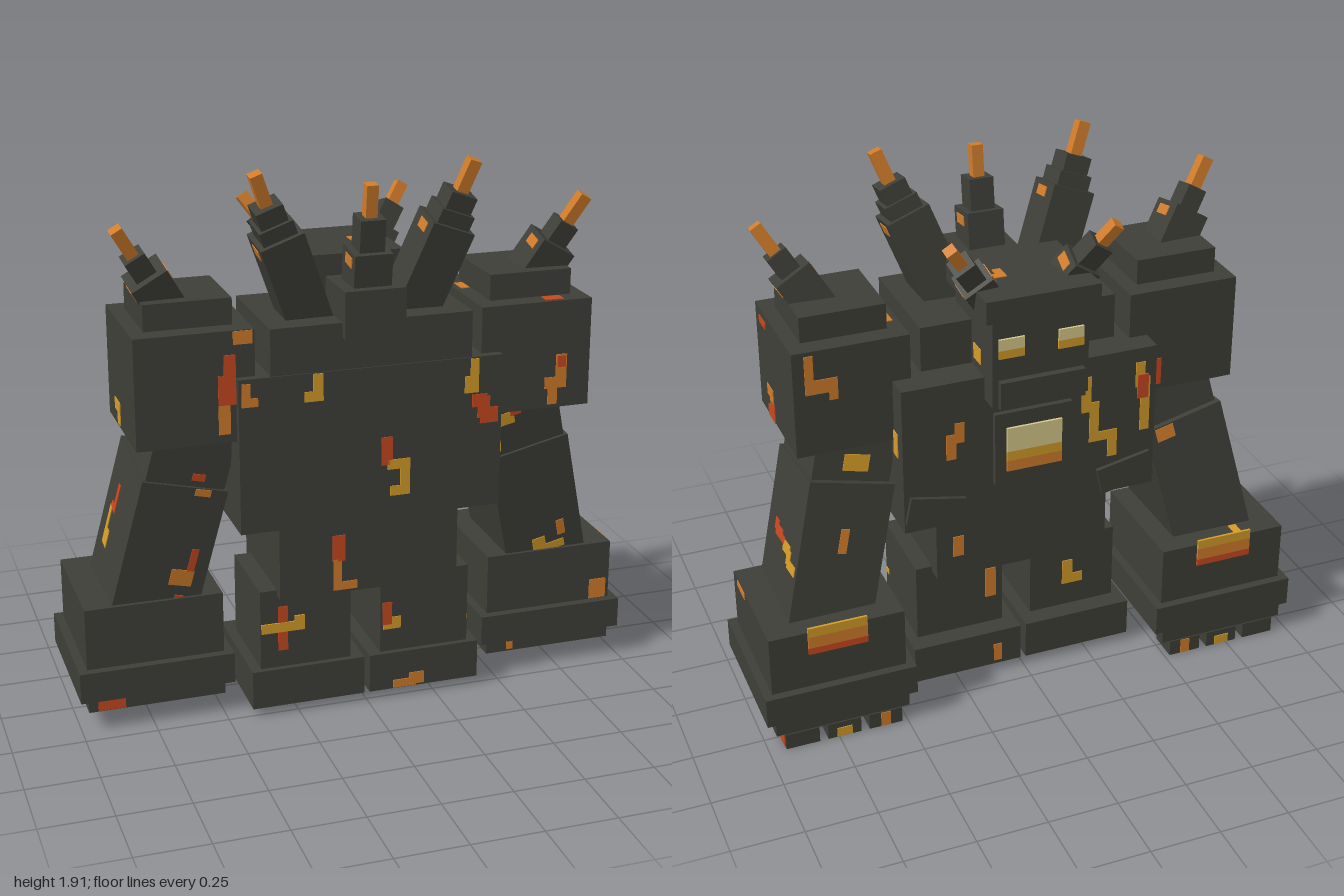
import * as THREE from 'three';

const mat = (name, color) => {
  const m = new THREE.MeshStandardMaterial({ color });
  m.name = name;
  return m;
};

export function createModel() {
  const root = new THREE.Group();
  root.name = 'stoneGolem';
  const stone = mat('darkStone', 0x3e3f38);
  const red = mat('emberRed', 0xc8481f);
  const orange = mat('emberOrange', 0xd07c2a);
  const amber = mat('emberAmber', 0xd49c28);
  const pale = mat('paleGlow', 0xd8c98a);

  // Box given by its extents on each axis
  const box = (name, x0, x1, y0, y1, z0, z1, material = stone, parent = root) => {
    const m = new THREE.Mesh(new THREE.BoxGeometry(Math.abs(x1 - x0), y1 - y0, z1 - z0), material);
    m.position.set((x0 + x1) / 2, (y0 + y1) / 2, (z0 + z1) / 2);
    m.name = name;
    parent.add(m);
    return m;
  };

  // Blocky glowing crack: thin plates along a stepped path on a flat face
  const crack = (material, axis, level, pts, w = 0.04, parent = root) => {
    const t = 0.003, h = w / 2;
    for (let i = 0; i < pts.length - 1; i++) {
      const [a, b] = pts[i], [c, d] = pts[i + 1];
      const u = [Math.min(a, c) - h, Math.max(a, c) + h];
      const v = [Math.min(b, d) - h, Math.max(b, d) + h];
      const l = [level - t, level + t];
      if (axis === 'z') box('crack', ...u, ...v, ...l, material, parent);
      else if (axis === 'x') box('crack', ...l, ...v, ...u, material, parent);
      else box('crack', ...u, ...l, ...v, material, parent);
    }
  };

  // Stepped spike with a glowing tip; steps are [width, start, end] along the axis
  const spike = (name, base, tip, steps) => {
    const g = new THREE.Group();
    g.name = name;
    const from = new THREE.Vector3(...base);
    const dir = new THREE.Vector3(...tip).sub(from).normalize();
    g.position.copy(from);
    g.quaternion.setFromUnitVectors(new THREE.Vector3(0, 1, 0), dir);
    steps.forEach(([w, a, b], i) => {
      const last = i === steps.length - 1;
      box(last ? 'spikeTip' : 'spikeStep', -w / 2, w / 2, a, b, -w / 2, w / 2, last ? orange : stone, g);
    });
    const [w, , end] = steps[0];
    for (const s of [-1, 1]) crack(orange, 'x', s * w / 2, [[-0.01, end - 0.035], [0.02, end - 0.035]], 0.035, g);
    root.add(g);
  };

  // Torso
  box('chest', -0.46, 0.46, 0.71, 1.25, -0.235, 0.31);
  box('upperChest', -0.35, 0.35, 1.25, 1.41, -0.12, 0.305);
  box('pelvis', -0.32, 0.32, 0.44, 0.71, -0.155, 0.28);
  box('furnaceFrame', -0.14, 0.14, 0.84, 1.11, -0.255, -0.23);
  box('furnaceLow', -0.1, 0.1, 0.89, 0.93, -0.264, -0.255, orange);
  box('furnaceMiddle', -0.1, 0.1, 0.93, 0.965, -0.264, -0.255, amber);
  box('furnaceHigh', -0.1, 0.1, 0.965, 1.055, -0.264, -0.255, pale);

  // Head
  box('face', -0.17, 0.17, 1.17, 1.5, -0.31, 0.03);
  box('brow', -0.2, 0.2, 1.49, 1.57, -0.335, 0.035);
  box('jaw', -0.15, 0.15, 1.17, 1.27, -0.335, -0.2);

  // Middle spike on the chest
  box('spikeBlock', -0.105, 0.105, 1.36, 1.52, 0.12, 0.335);
  spike('middleSpike', [0, 1.44, 0.225], [0, 1.86, 0.28],
    [[0.13, 0, 0.2], [0.086, 0.2, 0.31], [0.04, 0.31, 0.42]]);

  const arms = {};
  for (const s of [-1, 1]) {
    // Same as box, mirrored to side s
    const side = (name, x0, x1, ...rest) => box(name, Math.min(s * x0, s * x1), Math.max(s * x0, s * x1), ...rest);

    // Eyes
    side('eyeLow', 0.06, 0.15, 1.35, 1.38, -0.318, -0.309, amber);
    side('eyeHigh', 0.06, 0.15, 1.38, 1.42, -0.318, -0.309, pale);

    // Tilted plate at the lower corner of the chest
    const plate = box('ribPlate', s * 0.35 - 0.1, s * 0.35 + 0.1, 0.73, 0.83, -0.25, -0.16);
    plate.rotation.z = s * 0.2;

    // Spikes
    spike('chestSpike', [s * 0.185, 1.4, 0.14], [s * 0.375, 1.905, 0.23],
      [[0.155, -0.1, 0.32], [0.12, 0.32, 0.37], [0.095, 0.37, 0.43], [0.042, 0.43, 0.545]]);
    spike('shoulderSpike', [s * 0.645, 1.46, 0.09], [s * 0.81, 1.735, 0.15],
      [[0.135, -0.05, 0.14], [0.075, 0.14, 0.22], [0.042, 0.22, 0.33]]);
    spike('headSpike', [s * 0.13, 1.5, -0.16], [s * 0.29, 1.73, -0.25],
      [[0.11, -0.05, 0.12], [0.075, 0.12, 0.21], [0.04, 0.21, 0.295]]);

    // Shoulder
    side('shoulder', 0.395, 0.795, 1.03, 1.41, -0.15, 0.28);
    side('shoulderCap', 0.45, 0.745, 1.41, 1.5, -0.08, 0.21);

    // Slanting arm
    const arm = new THREE.Group();
    arm.name = 'arm';
    arm.position.set(s * 0.615, 0.88, 0.018);
    arm.quaternion.setFromUnitVectors(new THREE.Vector3(0, 1, 0),
      new THREE.Vector3(-s * 0.105, 0.44, 0.053).normalize());
    root.add(arm);
    arms[s] = arm;
    box('upperArm', -0.138, 0.138, -0.1, 0.28, -0.155, 0.17, stone, arm);
    box('forearm', -0.15, 0.15, -0.52, 0, -0.18, 0.18, stone, arm);

    // Fist with knuckle vent and fingers
    side('fist', 0.49, 0.97, 0.22, 0.44, -0.295, 0.16);
    side('fistBand', 0.46, 1.0, 0.11, 0.22, -0.325, 0.19);
    side('fistBase', 0.49, 0.97, 0.06, 0.11, -0.32, 0.165);
    side('ventLow', 0.625, 0.835, 0.355, 0.38, -0.304, -0.295, red);
    side('ventMiddle', 0.625, 0.835, 0.38, 0.425, -0.304, -0.295, orange);
    side('ventHigh', 0.625, 0.835, 0.425, 0.46, -0.304, -0.295, amber);
    for (const x of [0.52, 0.67, 0.82]) side('finger', x, x + 0.12, 0, 0.06, -0.325, -0.215);
    crack(orange, 'z', -0.325, [[s * 0.58, 0.02], [s * 0.58, 0.04]], 0.035);
    crack(amber, 'z', -0.325, [[s * 0.72, 0.02], [s * 0.74, 0.02]], 0.035);

    // Leg and foot
    side('leg', 0.055, 0.38, 0.17, 0.46, -0.1, 0.24);
    side('foot', 0.01, 0.415, 0.03, 0.17, -0.17, 0.26);
    crack(amber, 'y', 0.03, [[s * 0.15, 0.1], [s * 0.2, 0.1], [s * 0.2, 0.04]], 0.03);
  }

  // Cracks on the left arm
  const l = arms[1], r = arms[-1];
  crack(red, 'x', 0.15, [[0.085, -0.25], [0.07, -0.265], [0.02, -0.28], [-0.01, -0.28]], 0.025, l);
  crack(amber, 'x', 0.15, [[-0.025, -0.285], [-0.075, -0.3], [-0.09, -0.33], [-0.15, -0.34]], 0.025, l);
  crack(orange, 'z', 0.18, [[0.07, -0.35], [0.07, -0.38]], 0.03, l);
  crack(amber, 'z', 0.18, [[-0.03, -0.395], [-0.01, -0.43], [0.06, -0.43]], 0.03, l);
  crack(amber, 'z', 0.17, [[-0.09, 0.14], [-0.05, 0.13]], 0.035, l);
  crack(red, 'z', 0.17, [[-0.03, 0.155], [-0.02, 0.155]], 0.03, l);
  crack(amber, 'z', -0.155, [[-0.04, 0.08], [0.02, 0.05]], 0.03, l);
  crack(orange, 'z', -0.18, [[0, -0.18], [0, -0.24]], 0.03, l);

  // Cracks on the right arm
  crack(red, 'z', 0.18, [[0.09, -0.24], [0.09, -0.3]], 0.025, r);
  crack(orange, 'z', 0.18, [[0.045, -0.35], [0.085, -0.33]], 0.04, r);
  crack(red, 'z', 0.18, [[0.07, -0.42], [0.075, -0.42]], 0.025, r);
  crack(red, 'z', 0.17, [[0.03, 0.035], [0.05, 0.035]], 0.025, r);
  crack(orange, 'z', 0.18, [[0.05, -0.015], [0.08, -0.015]], 0.025, r);
  crack(red, 'x', -0.15, [[-0.05, -0.14], [-0.05, -0.22], [-0.08, -0.22]], 0.025, r);
  crack(amber, 'x', -0.15, [[-0.09, -0.24], [-0.09, -0.32], [-0.06, -0.36]], 0.025, r);
  crack(orange, 'z', -0.18, [[0.1, -0.02], [0.06, -0.04]], 0.03, r);

  // Cracks on the outer sides
  crack(red, 'x', 0.795, [[0.22, 1.37], [0.17, 1.37]], 0.025);
  crack(orange, 'x', 0.795, [[0.16, 1.13], [0.13, 1.13], [0.13, 1.1]]);
  crack(red, 'x', 0.795, [[0.16, 1.05], [0.12, 1.05], [0.12, 1.08]]);
  crack(amber, 'x', -0.795, [[-0.02, 1.1], [0.02, 1.1], [0.02, 1.06]]);
  crack(amber, 'x', 0.46, [[0.29, 0.92], [0.255, 0.92], [0.255, 0.82]]);
  crack(red, 'x', 0.46, [[0.26, 0.78], [0.26, 0.74]]);
  crack(amber, 'x', 0.46, [[-0.17, 1.05], [-0.17, 1.0]]);
  crack(amber, 'x', 0.17, [[-0.19, 1.3], [-0.16, 1.32]], 0.035);
  crack(orange, 'x', 0.97, [[0.09, 0.427], [0.02, 0.427]], 0.025);
  crack(red, 'x', 0.94, [[-0.295, 0.02], [-0.235, 0.035]], 0.035);
  crack(red, 'x', 0.415, [[0.115, 0.045], [0.075, 0.045]], 0.028);
  crack(amber, 'x', 0.38, [[0.225, 0.26], [0.215, 0.26]], 0.02);

  // Cracks on the front of the body
  crack(amber, 'z', 0.31, [[-0.19, 1.23], [-0.19, 1.17], [-0.22, 1.17]], 0.035);
  crack(red, 'z', 0.31, [[0.05, 0.98], [0.05, 0.92]]);
  crack(amber, 'z', 0.31, [[0.07, 0.9], [0.115, 0.9], [0.115, 0.805], [0.08, 0.805]], 0.035);
  crack(amber, 'z', 0.31, [[0.36, 1.23], [0.36, 1.14], [0.34, 1.17]], 0.03);
  crack(red, 'z', 0.31, [[0.37, 1.1], [0.39, 1.09], [0.4, 1.05], [0.43, 1.03]], 0.035);
  crack(orange, 'z', 0.31, [[-0.435, 1.22], [-0.435, 1.17], [-0.41, 1.17]], 0.03);
  crack(red, 'z', 0.28, [[-0.11, 0.63], [-0.11, 0.58]], 0.045);
  crack(orange, 'z', 0.28, [[-0.115, 0.55], [-0.115, 0.465], [-0.06, 0.465]], 0.03);
  crack(red, 'z', 0.24, [[-0.3, 0.38], [-0.3, 0.25]], 0.035);
  crack(amber, 'z', 0.242, [[-0.36, 0.32], [-0.24, 0.32], [-0.24, 0.34]], 0.035);
  crack(red, 'z', 0.24, [[0.08, 0.34], [0.08, 0.29]], 0.035);
  crack(amber, 'z', 0.24, [[0.08, 0.285], [0.115, 0.27]], 0.03);
  crack(orange, 'z', 0.26, [[0.11, 0.045], [0.17, 0.05], [0.2, 0.07]], 0.025);
  crack(red, 'z', 0.28, [[-0.48, 1.31], [-0.48, 1.24], [-0.5, 1.18]]);
  crack(orange, 'z', 0.28, [[-0.42, 1.39], [-0.45, 1.38]], 0.035);
  crack(orange, 'z', 0.28, [[-0.5, 1.14], [-0.5, 1.08]]);
  crack(orange, 'z', 0.28, [[0.69, 1.2], [0.69, 1.12], [0.65, 1.12]]);
  crack(red, 'z', 0.283, [[0.69, 1.2], [0.69, 1.19]], 0.03);
  crack(orange, 'z', 0.28, [[0.66, 1.1], [0.66, 1.06]], 0.035);
  crack(orange, 'z', 0.16, [[0.91, 0.28], [0.94, 0.24]], 0.035);
  crack(red, 'z', 0.165, [[-0.92, 0.08], [-0.86, 0.09]], 0.035);
  crack(orange, 'z', 0.165, [[0.58, 0.08], [0.58, 0.09]], 0.025);
  crack(amber, 'z', -0.215, [[-0.72, 0.02], [-0.71, 0.04]], 0.03);
  crack(orange, 'z', -0.215, [[0.69, 0.02], [0.69, 0.04]], 0.03);

  // Cracks on the face side
  crack(amber, 'z', -0.235, [[-0.2, 1.16], [-0.2, 1.06], [-0.23, 1.06], [-0.23, 0.94], [-0.3, 0.94], [-0.3, 0.87]], 0.035);
  crack(amber, 'z', -0.235, [[-0.4, 1.18], [-0.4, 1.12], [-0.42, 1.12], [-0.42, 0.95]], 0.035);
  crack(red, 'z', -0.238, [[-0.41, 1.13], [-0.41, 1.08]]);
  crack(orange, 'z', -0.235, [[0.26, 1.08], [0.26, 1.04], [0.29, 1.04], [0.29, 0.98]], 0.035);
  crack(orange, 'z', -0.15, [[0.74, 1.38], [0.74, 1.29], [0.66, 1.27], [0.66, 1.24]], 0.03);
  crack(red, 'z', -0.15, [[-0.5, 1.13], [-0.5, 1.07]]);
  crack(orange, 'z', -0.155, [[0.24, 0.58], [0.24, 0.54]]);
  crack(orange, 'z', -0.1, [[0.1, 0.38], [0.1, 0.3]]);
  crack(amber, 'z', -0.1, [[-0.2, 0.34], [-0.2, 0.28], [-0.24, 0.28]]);
  crack(orange, 'z', -0.17, [[0.1, 0.06], [0.1, 0.1]], 0.03);

  // Cracks on upward faces
  crack(orange, 'y', 1.57, [[0.08, -0.125], [0.08, -0.16], [0.12, -0.16]], 0.03);
  crack(orange, 'y', 0.22, [[0.91, -0.06], [0.945, -0.07], [0.945, 0.07], [0.91, 0.06]], 0.04);
  crack(amber, 'y', 0.44, [[-0.8, -0.27], [-0.8, -0.24]], 0.03);
  crack(orange, 'y', 1.41, [[0.43, -0.02], [0.43, 0.02]], 0.03);
  crack(red, 'y', 1.41, [[0.65, 0.25], [0.68, 0.24]], 0.035);
  crack(red, 'y', 1.41, [[-0.18, 0.05], [-0.16, 0.05]], 0.02);

  return root;
}
